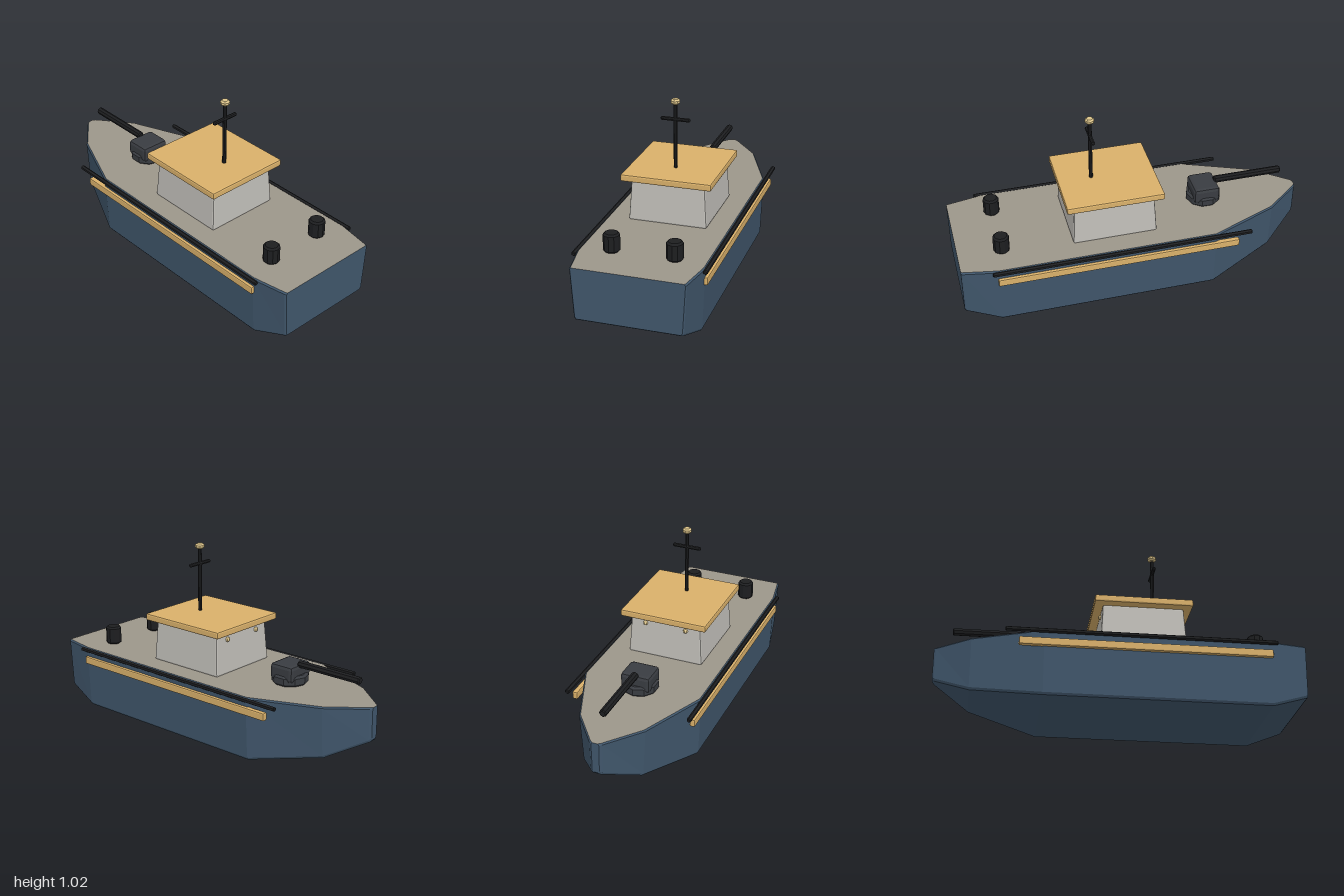
import * as THREE from 'three';
import { RoundedBoxGeometry } from 'three/addons/geometries/RoundedBoxGeometry.js';

const paint = (color) => new THREE.MeshStandardMaterial({ color, flatShading: true });

export function createModel() {
  const boat = new THREE.Group();
  const navy = paint(0x40566b), tan = paint(0x9c968a), gold = paint(0xd9b06a);
  const black = paint(0x1d1e20), steel = paint(0x393c41), brass = paint(0xdcc48a);
  const wall = paint(0xbfbdb7);

  const add = (name, geometry, material, x = 0, y = 0, z = 0) => {
    const mesh = new THREE.Mesh(geometry, material);
    mesh.name = name;
    mesh.position.set(x, y, z);
    boat.add(mesh);
    return mesh;
  };

  // Box with chamfered edges
  const box = (w, h, d, c) => new RoundedBoxGeometry(w, h, d, 1, c);

  // Upright faceted rod with chamfered ends, centred on its origin
  const rod = (r, h, sides, c) => new THREE.LatheGeometry([
    [0, -h / 2], [r - c, -h / 2], [r, -h / 2 + c], [r, h / 2 - c], [r - c, h / 2], [0, h / 2],
  ].map(([a, b]) => new THREE.Vector2(a, b)), sides);

  // Quads and fans indexed into a shared list of points
  const surface = (points, index) => {
    const g = new THREE.BufferGeometry();
    g.setAttribute('position', new THREE.Float32BufferAttribute(points.flat(), 3));
    g.setIndex(index);
    const flat = g.toNonIndexed();
    flat.computeVertexNormals();
    return flat;
  };

  // Hull stations from bow to stern: z, half width at deck, half width at keel, keel height
  const top = 0.36, c = 0.008;
  const stations = [
    [-1, 0.022, 0.02, 0.18], [-0.99, 0.036, 0.033, 0.167], [-0.8, 0.188, 0.172, 0.07],
    [-0.42, 0.343, 0.328, 0], [0.8, 0.343, 0.328, 0], [0.992, 0.308, 0.292, 0.067],
    [1, 0.302, 0.286, 0.074],
  ];
  const ring = ([z, t, b, y]) => {
    const half = [[t - c, top], [t, top - c], [b, y + 0.012], [b - c, y]];
    return [...half.map(([x, h]) => [x, h, z]),
      ...half.reverse().map(([x, h]) => [-x, h, z])];
  };
  const points = stations.flatMap(ring), n = 8;
  const hull = [], deck = [];
  for (let i = 0; i < stations.length - 1; i++) {
    const a = i * n, b = a + n;
    for (let j = 0; j < n - 1; j++) {
      hull.push(a + j + 1, a + j, b + j, a + j + 1, b + j, b + j + 1);
    }
    deck.push(a + 7, b + 7, b, a + 7, b, a);
  }
  // Bow and transom end faces
  const last = (stations.length - 1) * n;
  for (let k = 1; k < n - 1; k++) {
    hull.push(0, k, k + 1, last, last + k + 1, last + k);
  }
  add('hull', surface(points, hull), navy);
  add('deck', surface(points, deck), tan);

  // Cabin, narrowing towards the roof
  const cabin = box(0.44, 0.235, 0.475, 0.01);
  const p = cabin.attributes.position;
  for (let i = 0; i < p.count; i++) {
    const up = p.getY(i) / 0.235 + 0.5;
    p.setX(i, p.getX(i) * (1 - 0.07 * up));
    p.setZ(i, p.getZ(i) * (1 - 0.055 * up));
  }
  cabin.computeVertexNormals();
  add('cabin', cabin, wall, 0, 0.477, 0.128);
  add('cabinRoof', box(0.504, 0.04, 0.544, 0.009), gold, 0, 0.613, 0.128);

  // Mast with crossbar and lamp
  add('mast', rod(0.011, 0.365, 8, 0.004), black, 0, 0.81, 0.212);
  add('mastCrossbar', rod(0.011, 0.165, 8, 0.006).rotateZ(Math.PI / 2), black, 0, 0.908, 0.212);
  add('mastLamp', rod(0.026, 0.03, 8, 0.009), brass, 0, 1.008, 0.212);

  // Deck gun pointing over the bow
  add('gunBase', rod(0.1, 0.06, 10, 0.012), steel, 0, 0.388, -0.445);
  add('gunTurret', box(0.17, 0.095, 0.15, 0.02), steel, 0, 0.428, -0.445);
  add('gunBarrel', rod(0.021, 0.4, 8, 0.006).rotateX(Math.PI / 2), black, 0, 0.476, -0.705);

  // Paired fittings on both sides
  for (const [side, s] of [['left', 1], ['right', -1]]) {
    add(side + 'Rail', rod(0.013, 1.46, 6, 0.005).rotateX(Math.PI / 2), black,
      s * 0.352, 0.35, 0.105);
    add(side + 'RubbingStrip', box(0.03, 0.044, 1.36, 0.007), gold, s * 0.343, 0.287, 0.127);
    add(side + 'Bollard', rod(0.045, 0.105, 10, 0.01), black, s * 0.17, 0.412, 0.757);
    add(side + 'CabinLamp', new THREE.SphereGeometry(0.014, 8, 6), brass, s * 0.12, 0.555, -0.1);
  }
  return boat;
}
